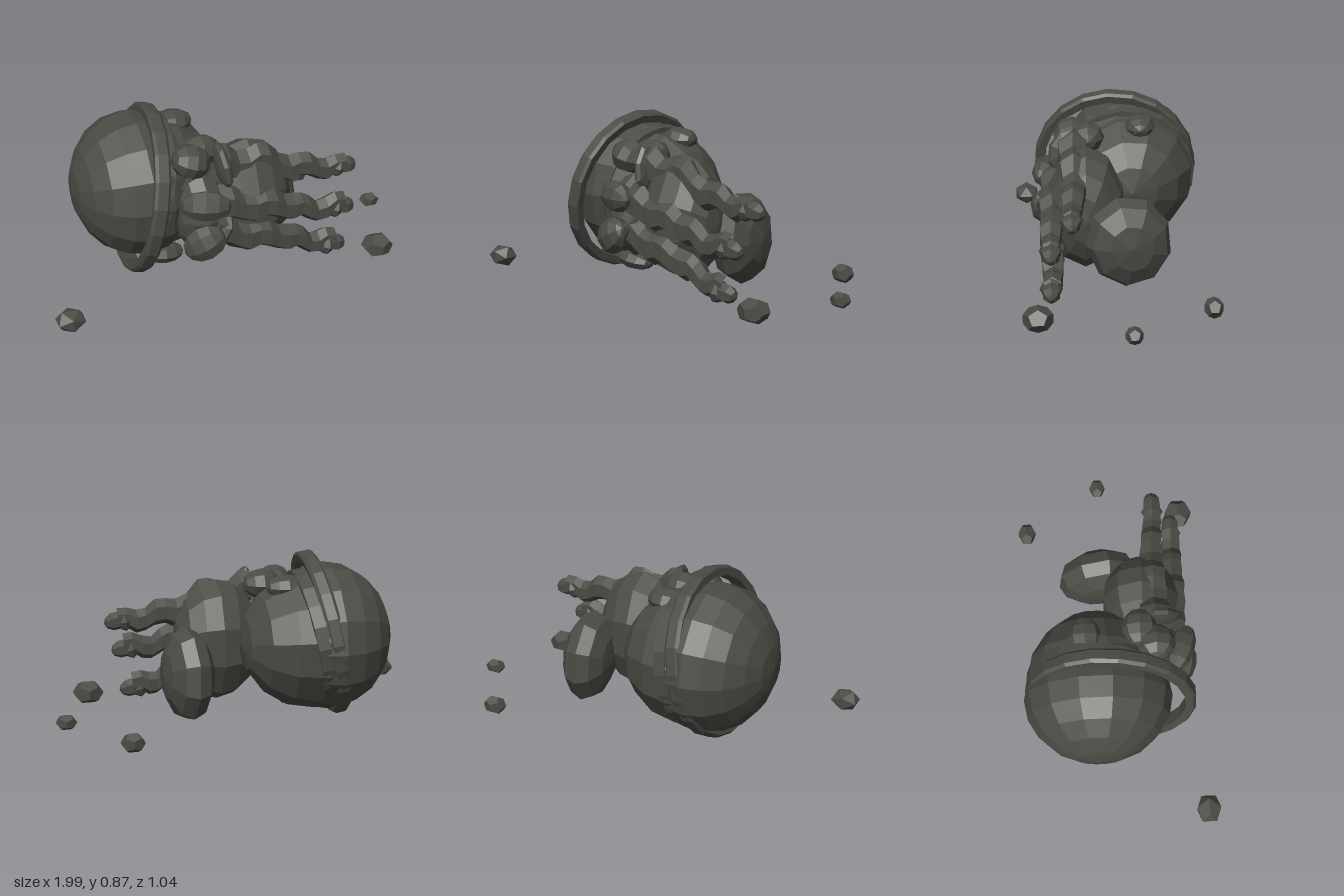
import * as THREE from 'three';

export function createModel() {
  const model = new THREE.Group();
  const stone = new THREE.MeshStandardMaterial({ color: 0x4b4b45, flatShading: true });
  stone.name = 'dark stone';

  function add(name, geometry, pos = [0, 0, 0], rot = [0, 0, 0]) {
    const mesh = new THREE.Mesh(geometry, stone);
    mesh.name = name;
    mesh.position.set(...pos);
    mesh.rotation.set(...rot);
    model.add(mesh);
    return mesh;
  }

  // Faceted ellipsoid whose poles lie along x
  function lump(name, pos, radii, rot, around = 8, along = 6) {
    const g = new THREE.SphereGeometry(1, around, along);
    g.rotateZ(-Math.PI / 2);
    g.scale(...radii);
    return add(name, g, pos, rot);
  }

  // Head in two halves, torso and rear foot
  lump('headDome', [-0.415, 0.435, -0.11], [0.335, 0.385, 0.38], [0.2, 0, 0], 14, 10);
  lump('face', [-0.33, 0.42, -0.12], [0.375, 0.355, 0.355], [0.2, 0, 0], 12, 8);
  lump('torso', [0.11, 0.385, 0.13], [0.235, 0.325, 0.205], [0, 0, 0], 10, 8);
  lump('rearFoot', [0.315, 0.27, -0.085], [0.13, 0.245, 0.22], [0.25, 0.12, 0], 9, 6);

  // Tilted bands around the head
  const axis = new THREE.Vector3(1, -0.195, 0.08).normalize();
  function ring(name, pos, points) {
    const profile = points.map(p => new THREE.Vector2(...p));
    add(name, new THREE.LatheGeometry(profile, 20), pos)
      .quaternion.setFromUnitVectors(new THREE.Vector3(0, 1, 0), axis);
  }
  ring('headBand', [-0.41, 0.439, -0.045], [[0.385, -0.035], [0.425, -0.04], [0.438, -0.025],
    [0.438, 0.025], [0.425, 0.04], [0.385, 0.035], [0.385, -0.035]]);
  ring('innerBand', [-0.335, 0.43, -0.11], [[0.33, -0.035], [0.365, -0.03], [0.365, 0.03],
    [0.33, 0.035], [0.33, -0.035]]);

  // Rounded plates on the head and neck
  lump('upperEar', [-0.185, 0.72, -0.165], [0.105, 0.062, 0.083]);
  lump('lowerEar', [-0.32, 0.075, 0.04], [0.115, 0.055, 0.08], [0, 0, -0.12]);
  lump('shoulder', [-0.13, 0.68, 0.11], [0.1, 0.08, 0.09]);
  lump('upperCollar', [-0.21, 0.67, 0.19], [0.1, 0.09, 0.1], [0, 0, -0.3]);
  lump('neck', [-0.16, 0.37, 0.21], [0.14, 0.22, 0.12]);
  lump('upperBrow', [-0.18, 0.48, 0.325], [0.13, 0.082, 0.07], [0, -0.35, 0]);
  lump('lowerBrow', [-0.19, 0.275, 0.34], [0.115, 0.095, 0.075], [0, -0.25, 0.5]);
  lump('upperCuff', [-0.055, 0.635, 0.23], [0.036, 0.13, 0.085], [-0.35, 0, 0.12]);
  lump('lowerCuff', [-0.115, 0.29, 0.3], [0.04, 0.13, 0.09], [0.2, 0, -0.6]);

  // Segmented limb: six-sided rings swept along a zigzag path
  function limb(name, path) {
    const sides = 6, rings = 13, positions = [], index = [];
    const curve = new THREE.CatmullRomCurve3(path.map(p => new THREE.Vector3(...p)));
    for (let i = 0; i <= rings; i++) {
      const t = i / rings;
      const c = curve.getPoint(t * 0.92);
      const r = (0.098 - 0.045 * t) * (i % 2 ? 1.05 : 0.95);
      const wave = (i % 4 < 2 ? 1 : -1) * 0.014;
      for (let j = 0; j < sides; j++) {
        const a = (j / sides) * Math.PI * 2;
        positions.push(c.x, c.y + wave + r * Math.cos(a), c.z + r * 0.88 * Math.sin(a));
        if (i < rings) {
          const p = i * sides + j, q = i * sides + (j + 1) % sides;
          index.push(p, q, p + sides, q, q + sides, p + sides);
        }
      }
    }
    const g = new THREE.BufferGeometry();
    g.setAttribute('position', new THREE.Float32BufferAttribute(positions, 3));
    g.setIndex(index);
    g.computeVertexNormals();
    add(name, g);

    // Wrist ring and rounded tip
    const [x, y, z] = path[path.length - 1];
    lump(name + 'Ring', [x - 0.105, y, z], [0.04, 0.06, 0.058], [0, 0, -0.2], 8, 4);
    lump(name + 'Tip', [x - 0.06, y, z], [0.065, 0.05, 0.05], [0, 0, -0.2], 6, 5);
  }
  limb('upperLimb', [[-0.08, 0.64, 0.19], [0.05, 0.61, 0.19], [0.18, 0.61, 0.19],
    [0.32, 0.54, 0.19], [0.45, 0.52, 0.2], [0.56, 0.5, 0.21], [0.69, 0.5, 0.21]]);
  limb('middleLimb', [[-0.1, 0.45, 0.27], [0.05, 0.43, 0.29], [0.18, 0.4, 0.3],
    [0.3, 0.38, 0.3], [0.4, 0.33, 0.31], [0.52, 0.34, 0.31], [0.64, 0.32, 0.31]]);
  limb('lowerLimb', [[-0.12, 0.32, 0.28], [0.02, 0.27, 0.29], [0.15, 0.23, 0.3],
    [0.28, 0.2, 0.3], [0.38, 0.14, 0.3], [0.48, 0.13, 0.3], [0.6, 0.1, 0.31]]);

  // Loose pebbles on the ground
  [[[-0.93, 0.067, 0.45], [0.08, 0.06, 0.072]],
    [[0.765, 0.07, 0.375], [0.085, 0.064, 0.078]],
    [[0.672, 0.065, -0.478], [0.063, 0.052, 0.05]],
    [[0.942, 0.06, -0.075], [0.056, 0.042, 0.045]]].forEach(([pos, size], i) => {
    const g = i === 0 ? new THREE.IcosahedronGeometry(1, 0) : new THREE.DodecahedronGeometry(1, 0);
    g.scale(...size);
    add('pebble' + (i + 1), g, pos);
  });

  return model;
}
